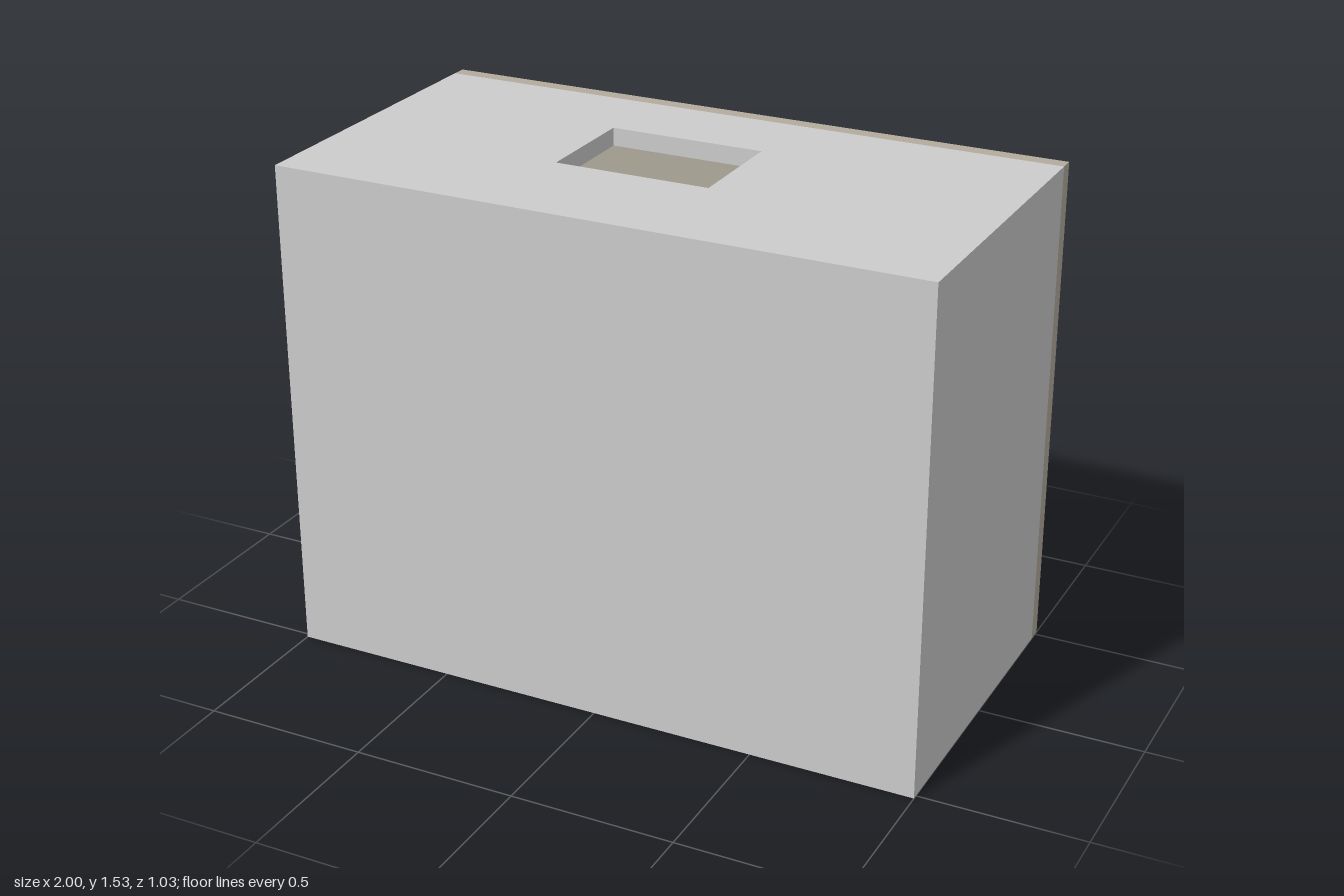
import * as THREE from 'three';

const HEIGHT = 1.53, HALF_W = 1, HALF_D = 0.515;
const WALL = 0.055, PANEL = 0.045;
const INNER_D = HALF_D - PANEL;

const bodyGrey = new THREE.MeshStandardMaterial({ color: 0xcccccc });
const frontGrey = new THREE.MeshStandardMaterial({ color: 0xd3d3d5 });
const backTan = new THREE.MeshStandardMaterial({ color: 0xb2ab9d });

function addBox(group, name, size, position, material) {
  const mesh = new THREE.Mesh(new THREE.BoxGeometry(...size), material);
  mesh.name = name;
  mesh.position.set(...position);
  group.add(mesh);
}

// Horizontal slab with a rectangular opening from (x0, z0) to (x1, z1)
function addSlab(group, name, topY, x0, z0, x1, z1) {
  const shape = new THREE.Shape();
  shape.moveTo(-HALF_W, -INNER_D).lineTo(HALF_W, -INNER_D);
  shape.lineTo(HALF_W, INNER_D).lineTo(-HALF_W, INNER_D).closePath();
  const hole = new THREE.Path();
  hole.moveTo(x0, z0).lineTo(x0, z1).lineTo(x1, z1).lineTo(x1, z0).closePath();
  shape.holes.push(hole);
  const geometry = new THREE.ExtrudeGeometry(shape, { depth: WALL, bevelEnabled: false });
  geometry.rotateX(Math.PI / 2);
  const mesh = new THREE.Mesh(geometry, bodyGrey);
  mesh.name = name;
  mesh.position.y = topY;
  group.add(mesh);
}

export function createModel() {
  const model = new THREE.Group();
  model.name = 'hollowCabinet';

  // Top and bottom, each with its own opening into the hollow
  addSlab(model, 'topWall', HEIGHT, -0.3, -0.21, 0.18, 0.14);
  addSlab(model, 'bottomWall', WALL, -0.65, -0.465, -0.39, 0.155);

  // Side walls
  for (const [name, side] of [['leftWall', 1], ['rightWall', -1]]) {
    addBox(model, name, [WALL, HEIGHT - 2 * WALL, 2 * INNER_D],
      [side * (HALF_W - WALL / 2), HEIGHT / 2, 0], bodyGrey);
  }

  // Full-size front and back panels
  for (const [name, side, material] of [['frontPanel', 1, frontGrey], ['backPanel', -1, backTan]]) {
    addBox(model, name, [2 * HALF_W, HEIGHT, PANEL],
      [0, HEIGHT / 2, side * (HALF_D - PANEL / 2)], material);
  }
  return model;
}
